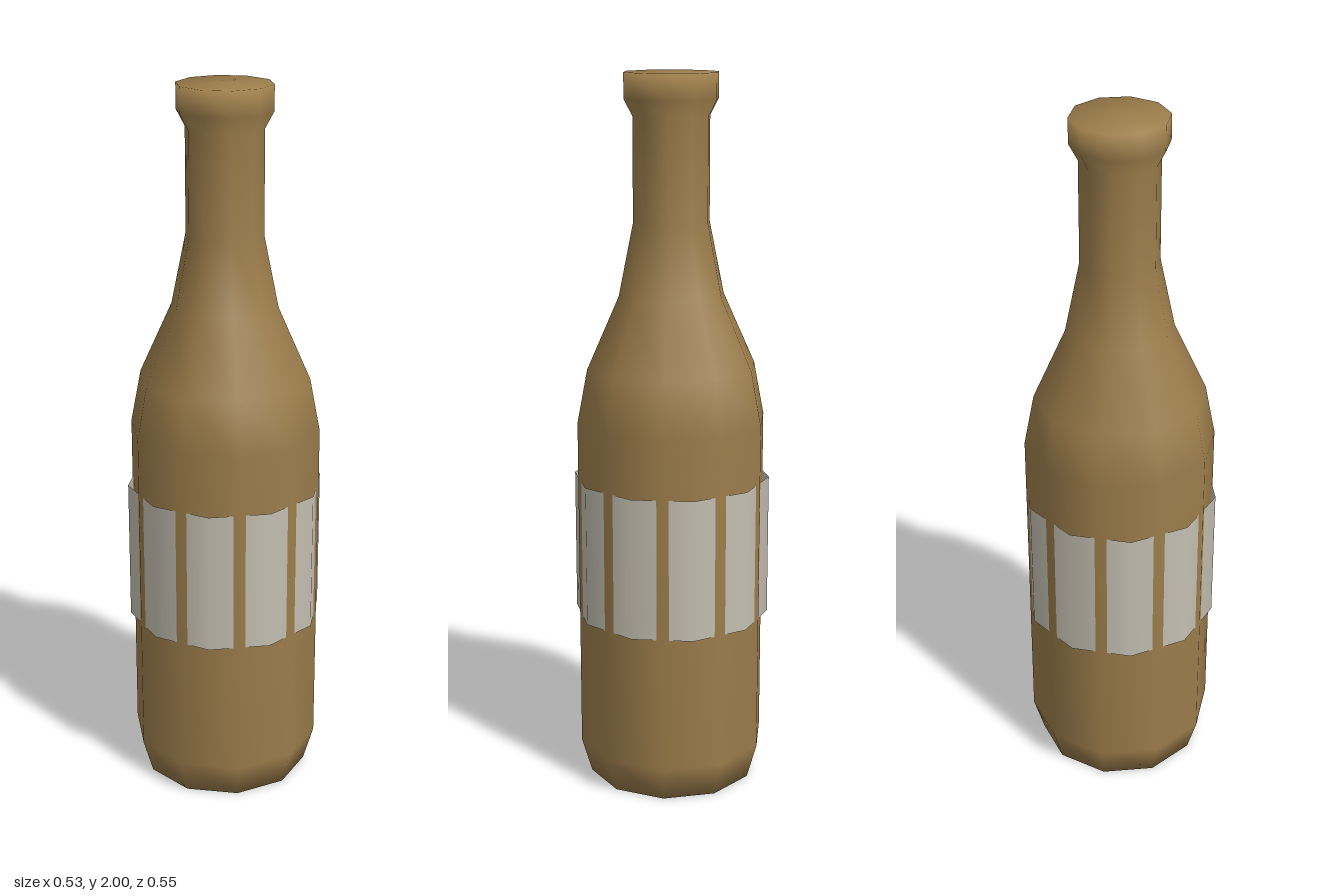
import * as THREE from 'three';

const SIDES = 10;

export function createModel() {
  const group = new THREE.Group();
  const brownGlass = new THREE.MeshStandardMaterial({ color: 0x9c7d4b });
  brownGlass.name = 'brownGlass';
  const paper = new THREE.MeshStandardMaterial({ color: 0xc4bfb1, side: THREE.DoubleSide });
  paper.name = 'labelPaper';

  // Bottle: one smooth ten-sided profile, closed at base and mouth, with corners on the x axis
  const profile = [
    [0, 0], [0.238, 0], [0.267, 0.1], [0.267, 1.05], [0.238, 1.2], [0.148, 1.4],
    [0.107, 1.6], [0.107, 1.885], [0.131, 1.93], [0.131, 2], [0, 2],
  ].map(([r, y]) => new THREE.Vector2(r, y));
  const bottle = new THREE.Mesh(new THREE.LatheGeometry(profile, SIDES, Math.PI / 2), brownGlass);
  bottle.name = 'bottle';
  group.add(bottle);

  // Label: open ten-sided sleeve turned half a side, so the bottle's corners poke through it
  const label = new THREE.Mesh(new THREE.CylinderGeometry(0.275, 0.275, 0.4, SIDES, 1, true), paper);
  label.name = 'label';
  label.position.y = 0.686;
  group.add(label);

  return group;
}
